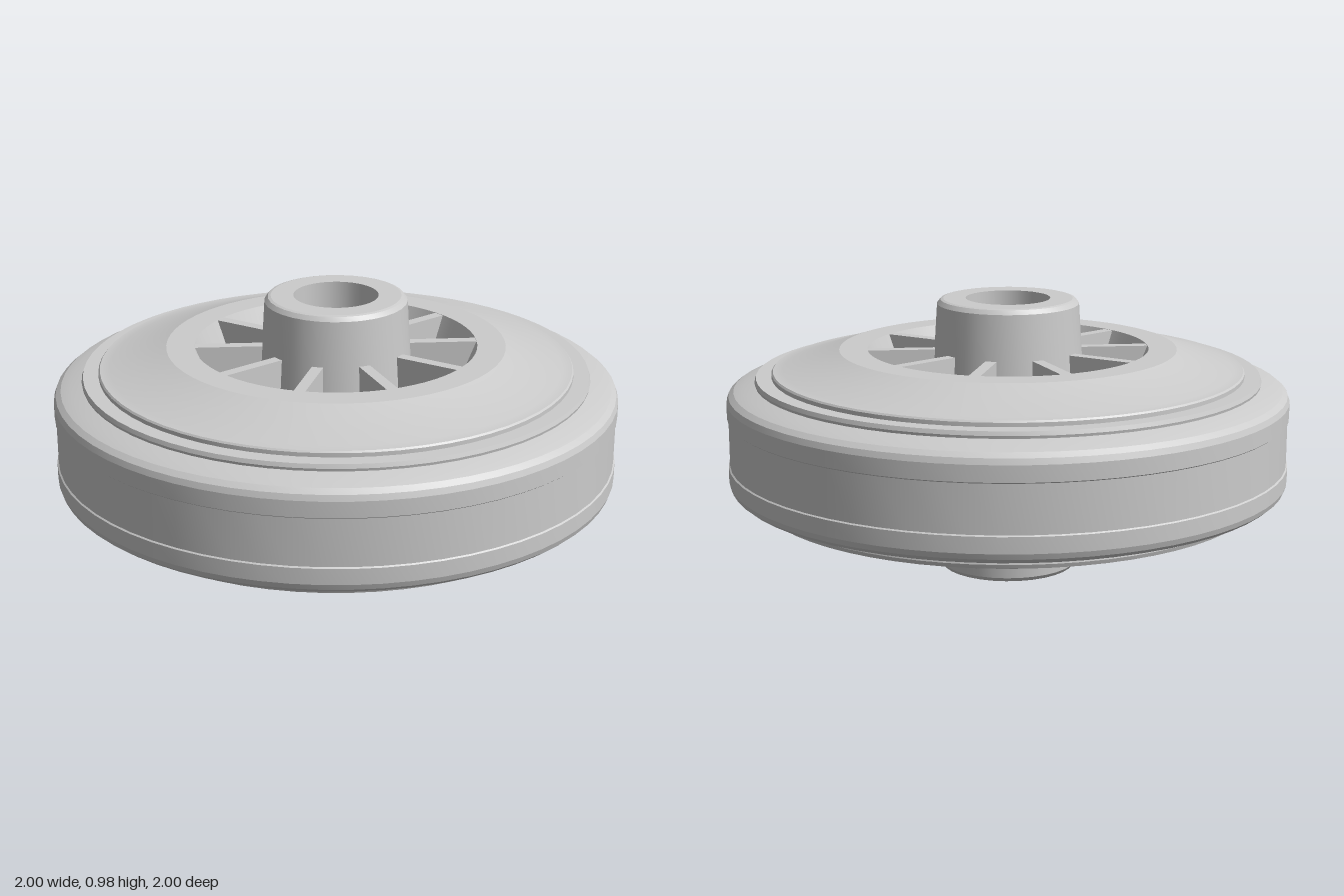
import * as THREE from 'three';
import { toCreasedNormals } from 'three/addons/utils/BufferGeometryUtils.js';

const MID = 0.49; // height of the wheel's plane of symmetry
const material = new THREE.MeshStandardMaterial({ color: 0xcccccc });

// Lathes a half profile of [radius, height above the mid plane], mirrored below it
function revolve(name, half, segments, closed = false) {
  const lower = half.map(([r, h]) => [r, -h]).reverse();
  const points = [...lower, ...half].map(([r, h]) => new THREE.Vector2(r, h));
  if (closed) points.push(points[0].clone());
  const geometry = toCreasedNormals(new THREE.LatheGeometry(points, segments), 0.28);
  const mesh = new THREE.Mesh(geometry, material);
  mesh.name = name;
  return mesh;
}

export function createModel() {
  const wheel = new THREE.Group();
  wheel.name = 'wheel';
  wheel.position.y = MID;

  // Tyre with a shallow tread band and rounded shoulders
  wheel.add(revolve('tyre', [
    [0.995, 0.083], [1.0, 0.087], [1.0, 0.143], [0.993, 0.163],
    [0.975, 0.178], [0.94, 0.191], [0.87, 0.207],
  ], 64));

  // Rim: stepped edge, sloping face and tapered pocket wall
  wheel.add(revolve('rim', [
    [0.895, 0.19], [0.9, 0.21], [0.895, 0.224], [0.84, 0.224],
    [0.84, 0.238], [0.835, 0.244], [0.8, 0.246],
    [0.6, 0.312], [0.5, 0.312], [0.4, 0.06],
  ], 64));

  // Web at the bottom of the pockets, and the tapered hub with its bore
  wheel.add(revolve('hub', [
    [0.41, 0.06], [0.278, 0.06], [0.252, 0.472], [0.24, 0.487],
    [0.23, 0.49], [0.15, 0.49],
  ], 32, true));

  // Ten ribs on each face, following the slope of the pocket wall
  const outline = new THREE.Shape([
    [0.25, 0.05], [0.405, 0.05], [0.505, 0.311], [0.25, 0.311],
  ].map(([x, y]) => new THREE.Vector2(x, y)));
  const ribGeometry = new THREE.ExtrudeGeometry(outline, { depth: 0.04, bevelEnabled: false });
  ribGeometry.translate(0, 0, -0.02);

  for (const side of [0, 1]) {
    const ribs = new THREE.Group();
    ribs.name = side ? 'lowerRibs' : 'upperRibs';
    ribs.rotation.x = side * Math.PI;
    for (let i = 0; i < 10; i++) {
      const rib = new THREE.Mesh(ribGeometry, material);
      rib.name = 'rib';
      rib.rotation.y = ((i + 0.5) * Math.PI) / 5;
      ribs.add(rib);
    }
    wheel.add(ribs);
  }

  const model = new THREE.Group();
  model.add(wheel);
  return model;
}
